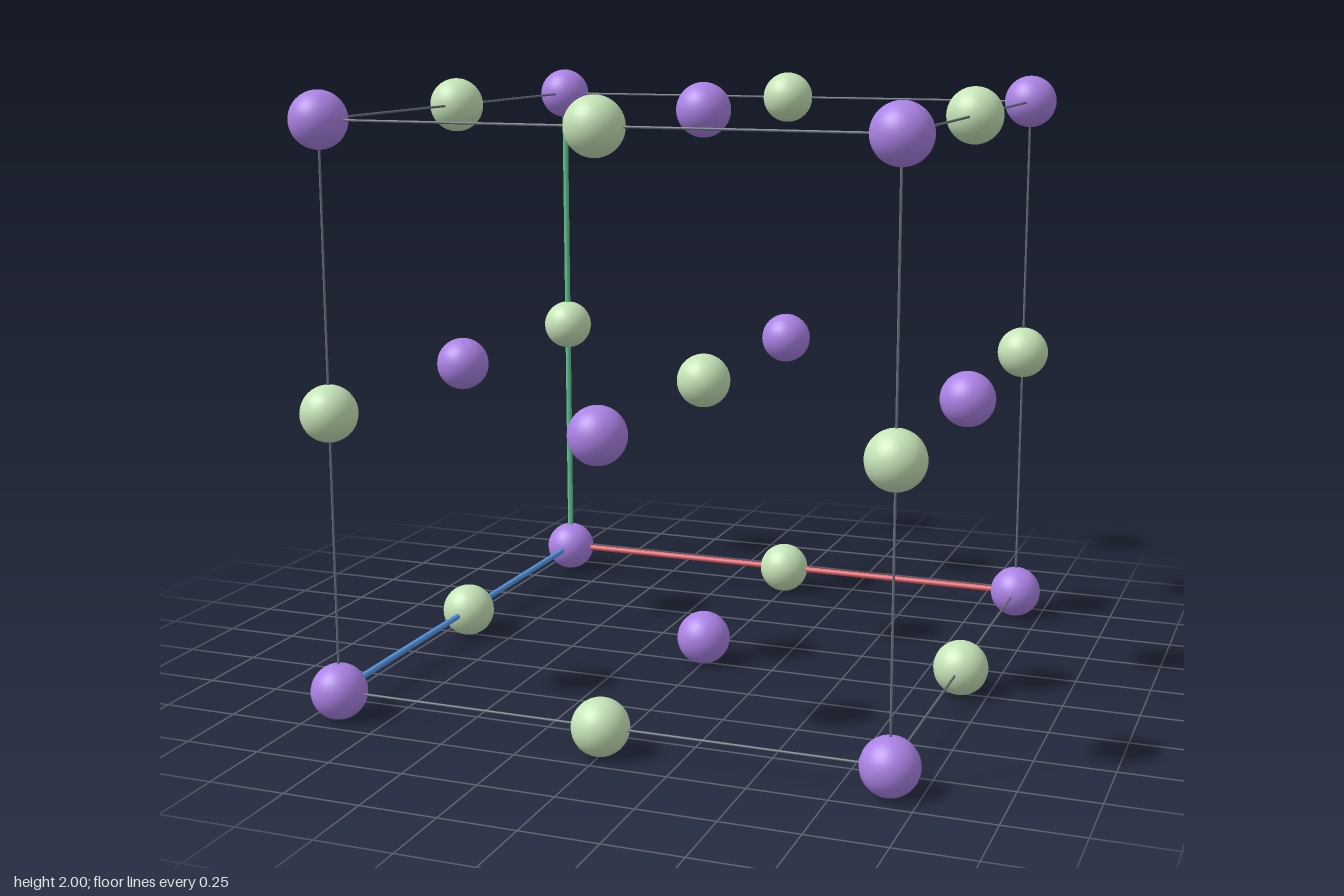
import * as THREE from 'three';

const H = 0.909;   // half the cell edge
const R = 0.091;   // atom radius

function mat(name, color) {
  const m = new THREE.MeshStandardMaterial({ color });
  m.name = name;
  return m;
}

export function createModel() {
  const group = new THREE.Group();
  group.name = 'crystalCell';
  const purple = mat('purple', 0xab82e6);
  const paleGreen = mat('paleGreen', 0xc6e4b8);
  const grey = mat('slateEdge', 0x68707a);
  const axisMats = [mat('axisRed', 0xe4626a), mat('axisGreen', 0x62c692), mat('axisBlue', 0x5698e4)];
  const axisNames = ['x', 'y', 'z'];

  // Atoms alternate on a 3 x 3 x 3 lattice: corners and face centres purple, the rest green
  const ball = new THREE.SphereGeometry(R, 32, 20);
  for (let i = -1; i <= 1; i++)
    for (let j = -1; j <= 1; j++)
      for (let k = -1; k <= 1; k++) {
        const isPurple = (i + j + k + 3) % 2 === 0;
        const atom = new THREE.Mesh(ball, isPurple ? purple : paleGreen);
        atom.name = isPurple ? 'purpleAtom' : 'greenAtom';
        atom.position.set(i * H, 1 + j * H, k * H);
        group.add(atom);
      }

  // Twelve cell edges; the three from the origin corner are thicker coloured axes
  const thin = new THREE.CylinderGeometry(0.004, 0.004, 2 * H, 10);
  const thick = new THREE.CylinderGeometry(0.0105, 0.0105, 2 * H, 12);
  for (let axis = 0; axis < 3; axis++)
    for (const a of [-1, 1])
      for (const b of [-1, 1]) {
        const isAxis = a < 0 && b < 0;
        const rod = new THREE.Mesh(isAxis ? thick : thin, isAxis ? axisMats[axis] : grey);
        rod.name = isAxis ? axisNames[axis] + 'Axis' : 'cellEdge';
        const p = [0, 0, 0];
        p[(axis + 1) % 3] = a * H;
        p[(axis + 2) % 3] = b * H;
        rod.position.set(p[0], p[1] + 1, p[2]);
        if (axis === 0) rod.rotation.z = -Math.PI / 2;
        if (axis === 2) rod.rotation.x = Math.PI / 2;
        group.add(rod);
      }
  return group;
}
